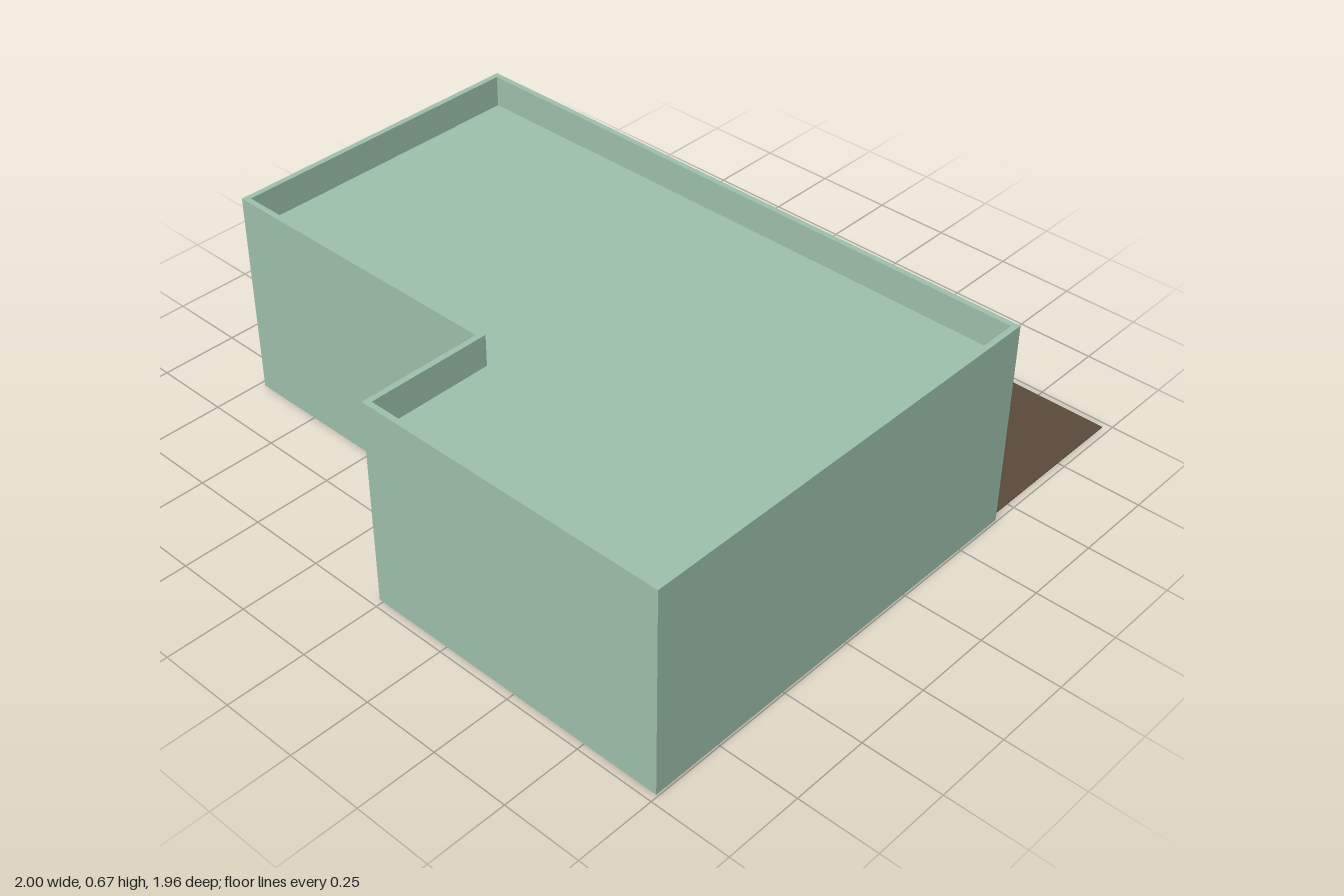
import * as THREE from 'three';

const wallGreen = new THREE.MeshStandardMaterial({ color: 0x9dc0ab });
wallGreen.name = 'wallGreen';
const floorBrown = new THREE.MeshStandardMaterial({ color: 0x5b4a3a });
floorBrown.name = 'floorBrown';
const windowGrey = new THREE.MeshStandardMaterial({ color: 0xc8c8c8 });
windowGrey.name = 'windowGrey';

const WALL_TOP = 0.67, ROOF_TOP = 0.57, ROOF_THICK = 0.02, FLOOR_TOP = 0.003, WALL = 0.018;

// L-shaped plan in x and z, inset by the wall thickness where wanted
function plan(inset) {
  const x0 = -0.978 + inset, x1 = 0.996 - inset, xn = -0.011 + inset;
  const z0 = -0.418 + inset, z1 = 0.978 - inset, zn = 0.587 - inset;
  return [[x0, z0], [x1, z0], [x1, z1], [xn, z1], [xn, zn], [x0, zn]]
    .map(([x, z]) => new THREE.Vector2(x, z));
}

// Flat slab from an x-z outline between two heights
function slab(name, shape, bottom, top, material) {
  const geometry = new THREE.ExtrudeGeometry(shape, { depth: top - bottom, bevelEnabled: false });
  geometry.rotateX(Math.PI / 2);
  geometry.translate(0, top, 0);
  const mesh = new THREE.Mesh(geometry, material);
  mesh.name = name;
  return mesh;
}

// Box given by its lower and upper corners
function box(name, [ax, ay, az], [bx, by, bz], material) {
  const mesh = new THREE.Mesh(new THREE.BoxGeometry(bx - ax, by - ay, bz - az), material);
  mesh.position.set((ax + bx) / 2, (ay + by) / 2, (az + bz) / 2);
  mesh.name = name;
  return mesh;
}

export function createModel() {
  const house = new THREE.Group();
  house.name = 'house';

  // Outer walls, rising past the roof as a parapet
  const ring = new THREE.Shape(plan(0));
  ring.holes.push(new THREE.Path(plan(WALL)));
  house.add(slab('walls', ring, FLOOR_TOP, WALL_TOP, wallGreen));

  // Flat roof sunk inside the parapet
  house.add(slab('roof', new THREE.Shape(plan(WALL)), ROOF_TOP - ROOF_THICK, ROOF_TOP, wallGreen));

  // Floor and the terrace behind the house
  house.add(slab('floor', new THREE.Shape(plan(WALL)), 0, FLOOR_TOP, floorBrown));
  house.add(box('terrace', [0.008, 0, -0.978], [0.978, FLOOR_TOP, -0.4], floorBrown));

  // Windows standing slightly proud of the walls
  house.add(box('backWindow', [0.32, 0.115, -0.443], [0.915, 0.505, -0.41], windowGrey));
  house.add(box('sideWindow', [-1, 0.115, -0.4], [-0.97, 0.505, -0.085], windowGrey));

  return house;
}
